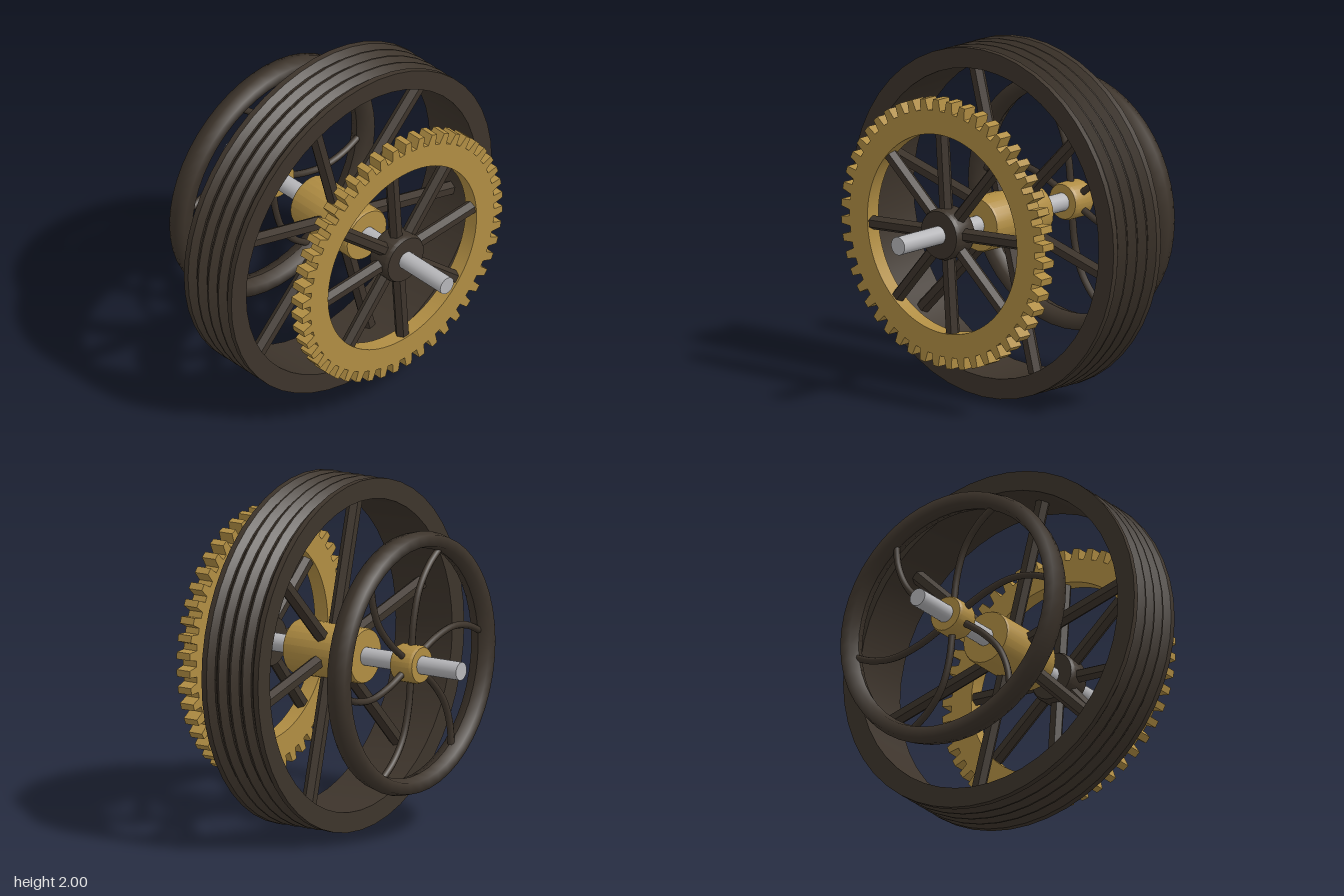
import * as THREE from 'three';
import { toCreasedNormals } from 'three/addons/utils/BufferGeometryUtils.js';

const iron = new THREE.MeshStandardMaterial({ color: 0x3d342b });
iron.name = 'dark iron';
const brass = new THREE.MeshStandardMaterial({ color: 0xb08d43 });
brass.name = 'brass';
const steel = new THREE.MeshStandardMaterial({ color: 0xb6b6b9 });
steel.name = 'steel';

const rad = THREE.MathUtils.degToRad;

function add(parent, name, geometry, material, x = 0) {
  const mesh = new THREE.Mesh(geometry, material);
  mesh.name = name;
  mesh.position.x = x;
  parent.add(mesh);
  return mesh;
}

// Turns a profile of [radius, offset along the axle] around the x axis.
function turned(profile, segments, crease = 0.5) {
  const points = profile.map(([r, h]) => new THREE.Vector2(r, h));
  const geo = new THREE.LatheGeometry(points, segments).rotateZ(-Math.PI / 2);
  return crease ? toCreasedNormals(geo, crease) : geo;
}

// Solid hub with a small chamfer at both ends.
function hub(radius, half, chamfer) {
  const c = chamfer;
  return turned([[0, -half], [radius - c, -half], [radius, -half + 2 * c],
    [radius, half - 2 * c], [radius - c, half], [0, half]], 24);
}

// Straight six-sided spokes, evenly spread from a start angle.
function spokes(parent, name, count, start, inner, outer, radius, x) {
  for (let i = 0; i < count; i++) {
    const geo = new THREE.CylinderGeometry(radius, radius, outer - inner, 6);
    geo.translate(0, (inner + outer) / 2, 0);
    geo.rotateX(rad(start + (360 / count) * i - 90));
    add(parent, name, toCreasedNormals(geo, 0.5), iron, x);
  }
}

// Point in the plane of a wheel.
const polar = (r, deg) => new THREE.Vector3(0, r * Math.sin(rad(deg)), -r * Math.cos(rad(deg)));

function grooveWheel() {
  const wheel = new THREE.Group();
  wheel.name = 'grooveWheel';
  const half = 0.193, inner = 0.885;
  const profile = [[inner, half], [inner, -half], [1, -half]];
  for (let i = 0; i < 4; i++) {
    const c = (i - 1.5) * 0.082;
    profile.push([1, c - 0.036], [0.963, c - 0.005], [0.963, c + 0.005], [1, c + 0.036]);
  }
  profile.push([1, half], [inner, half]);
  add(wheel, 'grooveWheelRim', turned(profile, 48), iron, -0.005);
  add(wheel, 'grooveWheelHub', hub(0.157, 0.23, 0.006), brass);
  spokes(wheel, 'grooveWheelSpoke', 6, 45, 0.1, 0.888, 0.042, 0);
  return wheel;
}

function gearWheel() {
  const wheel = new THREE.Group();
  wheel.name = 'gearWheel';
  const teeth = 48, root = 0.705, tip = 0.77, pitch = (Math.PI * 2) / teeth;
  const shape = new THREE.Shape();
  for (let i = 0; i < teeth; i++) {
    const a = (i + 0.5) * pitch;
    [[root, -0.31], [tip, -0.2], [tip, 0.2], [root, 0.31]].forEach(([r, f], k) => {
      const x = r * Math.cos(a + f * pitch), y = r * Math.sin(a + f * pitch);
      if (i + k === 0) shape.moveTo(x, y); else shape.lineTo(x, y);
    });
  }
  shape.closePath();
  const hole = new THREE.Path();
  hole.absarc(0, 0, 0.57, 0, Math.PI * 2, true);
  shape.holes.push(hole);
  const ring = new THREE.ExtrudeGeometry(shape, { depth: 0.09, bevelEnabled: false, curveSegments: 48 });
  ring.translate(0, 0, -0.045).rotateY(Math.PI / 2);
  add(wheel, 'gearRing', toCreasedNormals(ring, 0.3), brass, 0.475);
  add(wheel, 'gearHub', hub(0.147, 0.073, 0.01), iron, 0.475);
  spokes(wheel, 'gearSpoke', 8, 4, 0.1, 0.585, 0.04, 0.475);
  return wheel;
}

function handWheel() {
  const wheel = new THREE.Group();
  wheel.name = 'handWheel';
  const rim = turned([[0.65, 0], [0.668, -0.06], [0.732, -0.06], [0.747, 0],
    [0.732, 0.06], [0.668, 0.06], [0.65, 0]], 48, 0);
  add(wheel, 'handWheelRim', rim, iron, -0.54);
  add(wheel, 'handWheelHub', hub(0.108, 0.074, 0.008), brass, -0.54);
  // Curved spokes sweep round as they run outwards.
  for (let i = 0; i < 6; i++) {
    const a = i * 60;
    const path = new THREE.CatmullRomCurve3([polar(0.08, a + 33), polar(0.25, a + 36),
      polar(0.42, a + 41), polar(0.56, a + 48), polar(0.68, a + 55)]);
    add(wheel, 'handWheelSpoke', new THREE.TubeGeometry(path, 16, 0.02, 8), iron, -0.54);
  }
  return wheel;
}

export function createModel() {
  const model = new THREE.Group();
  model.name = 'wheelAssembly';
  const axle = new THREE.CylinderGeometry(0.052, 0.052, 1.765, 20).rotateZ(-Math.PI / 2);
  add(model, 'axle', axle, steel);
  model.add(grooveWheel(), gearWheel(), handWheel());
  model.position.y = 1;
  const root = new THREE.Group();
  root.name = 'model';
  root.add(model);
  return root;
}
